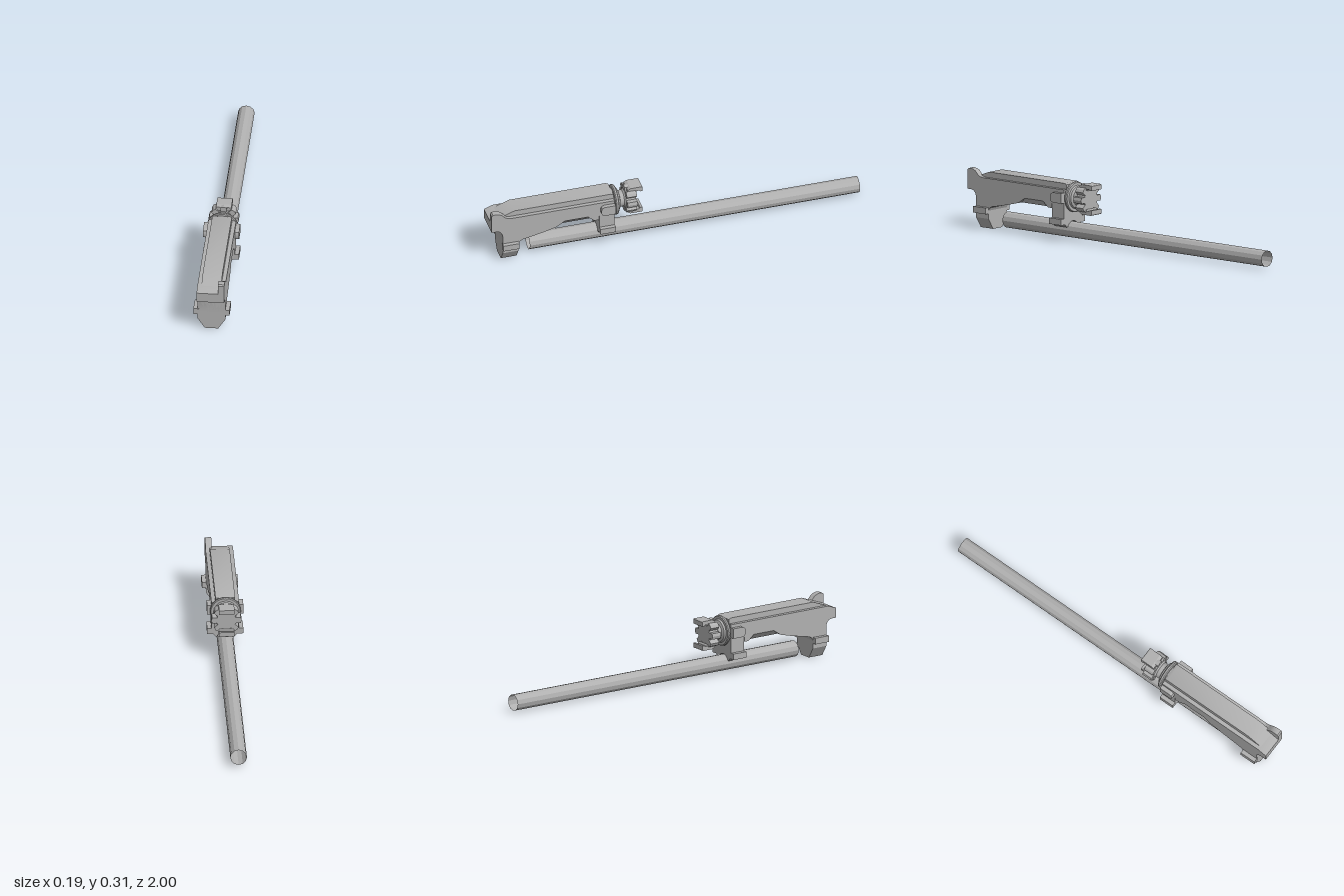
import * as THREE from 'three';
import { toCreasedNormals } from 'three/addons/utils/BufferGeometryUtils.js';

const AXIS_Y = 0.226; // height of the rotating head's axis
const TUBE_Y = 0.053;

export function createModel() {
  const group = new THREE.Group();
  const steel = new THREE.MeshStandardMaterial({ color: 0xb0b0b0, side: THREE.DoubleSide });

  function add(name, geometry) {
    const mesh = new THREE.Mesh(toCreasedNormals(geometry, 0.45), steel);
    mesh.name = name;
    group.add(mesh);
    return mesh;
  }
  const toShape = (pts) => new THREE.Shape(pts.map(([a, b]) => new THREE.Vector2(a, b)));
  const extrude = (shape, depth) =>
    new THREE.ExtrudeGeometry(shape, { depth, bevelEnabled: false, curveSegments: 8 });

  // side profile of (z, y) points, extruded across x0..x1
  function addProfile(name, pts, x0, x1) {
    return add(name, extrude(toShape(pts), x1 - x0).rotateY(-Math.PI / 2).translate(x1, 0, 0));
  }
  // cross-section of (x, y) points, extruded along z0..z1
  function addSection(name, pts, z0, z1) {
    return add(name, extrude(toShape(pts), z1 - z0).translate(0, 0, z0));
  }
  function addBox(name, x0, x1, y0, y1, z0, z1) {
    return add(name, new THREE.BoxGeometry(x1 - x0, y1 - y0, z1 - z0)
      .translate((x0 + x1) / 2, (y0 + y1) / 2, (z0 + z1) / 2));
  }
  // right half of a section, mirrored to a closed outline
  const mirrored = (half) => [...half, ...half.map(([x, y]) => [-x, y]).reverse()];

  // long open tube
  add('guideTube', new THREE.CylinderGeometry(0.043, 0.043, 1.785, 12, 1, true)
    .rotateX(Math.PI / 2).translate(0, TUBE_Y, -0.1075));

  // main body with arched underside
  addProfile('body', [
    [1, 0.2], [1, 0.253], [0.953, 0.27], [0.335, 0.27], [0.335, 0.19], [0.42, 0.19], [0.42, 0.165],
    [0.445, 0.165], [0.48, 0.195], [0.605, 0.195], [0.65, 0.165], [0.72, 0.147], [0.8, 0.13],
    [0.832, 0.124], [0.848, 0.115], [0.855, 0.1], [0.94, 0.1], [0.94, 0.165], [0.945, 0.182],
    [0.956, 0.195], [0.972, 0.2],
  ], -0.072, 0.072);

  // narrower keel below the arch, with sloping sides
  addSection('keel', mirrored([[0.045, 0.165], [0.072, 0.196]]), 0.43, 0.66);

  // raised top with sloping front
  addProfile('topRail', [
    [0.953, 0.27], [0.87, 0.3], [0.35, 0.3], [0.335, 0.294], [0.335, 0.26], [0.953, 0.26],
  ], -0.051, 0.051);

  // upright ear at the front left
  addProfile('frontEar', [
    [1, 0.25], [1, 0.302], [0.993, 0.309], [0.98, 0.311], [0.962, 0.308], [0.945, 0.3],
    [0.93, 0.284], [0.915, 0.274], [0.895, 0.27], [0.895, 0.25],
  ], 0.039, 0.072);

  // front leg with tapered foot
  addSection('frontLeg', mirrored([[0.035, 0], [0.072, 0.057], [0.072, 0.18]]), 0.855, 0.94);

  // rear leg, curved to sit on the tube
  const saddle = [];
  for (let i = 0; i <= 6; i++) {
    const a = Math.PI / 2 - (i / 6) * 1.18;
    saddle.push([0.046 * Math.cos(a), TUBE_Y + 0.046 * Math.sin(a)]);
  }
  addSection('rearLeg', mirrored([
    ...saddle, [0.05, 0.07], [0.062, 0.085], [0.094, 0.085], [0.094, 0.117], [0.072, 0.117], [0.072, 0.2],
  ]), 0.335, 0.418);

  // lugs on both sides
  for (const s of [-1, 1]) {
    const side = s > 0 ? 'left' : 'right';
    const [a, b] = s > 0 ? [0.065, 0.094] : [-0.094, -0.065];
    addBox(side + 'FrontLug', a, b, 0.084, 0.117, 0.855, 0.942);
    addProfile(side + 'RearLug', [
      [0.335, 0.2], [0.335, 0.253], [0.395, 0.253], [0.408, 0.246], [0.412, 0.235],
      [0.412, 0.217], [0.408, 0.207], [0.395, 0.2],
    ], a, b);
  }

  // round collar and neck behind the body
  const rings = [
    [0, 0.214], [0.052, 0.214], [0.052, 0.266], [0.044, 0.274], [0.044, 0.295], [0.058, 0.3],
    [0.062, 0.31], [0.076, 0.31], [0.08, 0.315], [0.08, 0.324], [0.076, 0.329], [0.066, 0.33], [0.066, 0.34],
  ].map(([r, z]) => new THREE.Vector2(r, z));
  add('collarAndNeck', new THREE.LatheGeometry(rings, 32).rotateX(Math.PI / 2).translate(0, AXIS_Y, 0));

  // toothed head
  const teeth = [];
  for (let k = 0; k < 8; k++) {
    for (const [r, d] of [[0.051, -0.3], [0.076, -0.21], [0.079, 0], [0.076, 0.21], [0.051, 0.3]]) {
      const a = (k * Math.PI) / 4 + d;
      teeth.push([r * Math.cos(a), AXIS_Y + r * Math.sin(a)]);
    }
  }
  addSection('toothedHead', teeth, 0.212, 0.266);

  // prongs above and below the head, thicker at the tips
  for (const s of [-1, 1]) {
    const name = s > 0 ? 'upperProng' : 'lowerProng';
    const y = (r) => AXIS_Y + s * r;
    addProfile(name, [
      [0.175, y(0.052)], [0.175, y(0.076)], [0.18, y(0.079)], [0.24, y(0.079)], [0.255, y(0.07)],
      [0.255, y(0.05)], [0.212, y(0.05)], [0.205, y(0.058)], [0.192, y(0.058)], [0.188, y(0.052)],
    ], -0.04, 0.04);
  }
  return group;
}
